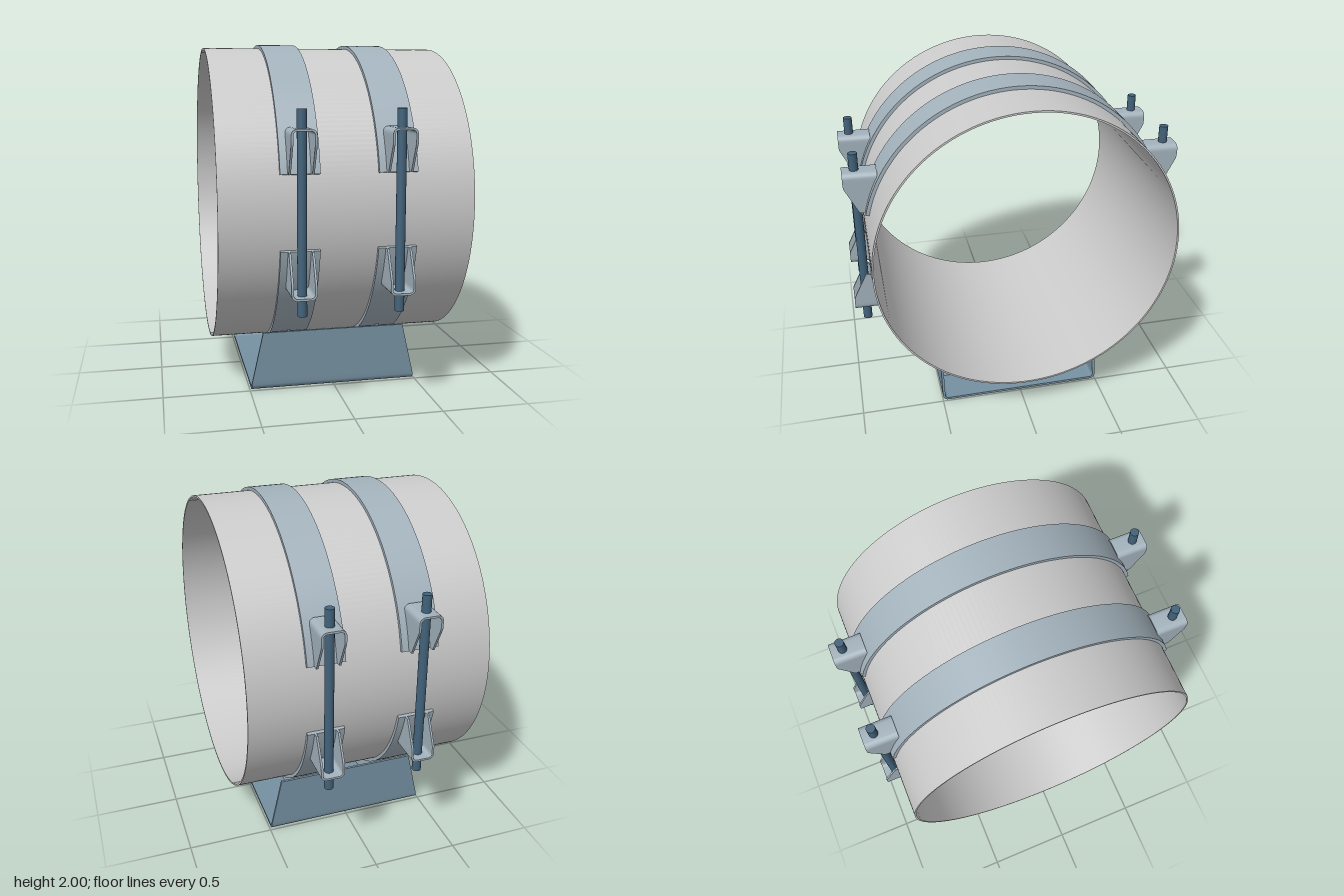
import * as THREE from 'three';
import { toCreasedNormals } from 'three/addons/utils/BufferGeometryUtils.js';

const CY = 1.105;       // height of the pipe axis
const R = 0.875;        // pipe radius
const RS = 0.895;       // strap outer radius
const CLAMP_X = 0.267;  // clamp offset from the middle

const pipeMat = new THREE.MeshStandardMaterial({ color: 0xcccccc });
const strapMat = new THREE.MeshStandardMaterial({ color: 0xa3b2bc });
const baseMat = new THREE.MeshStandardMaterial({ color: 0x7691a2 });
const rodMat = new THREE.MeshStandardMaterial({ color: 0x42627a });

function add(parent, name, geometry, material) {
  const mesh = new THREE.Mesh(geometry, material);
  mesh.name = name;
  parent.add(mesh);
  return mesh;
}

// Extrudes a z-y profile along x, centred on x = 0
function extrudeX(shape, width, segments = 48) {
  const g = new THREE.ExtrudeGeometry(shape, { depth: width, bevelEnabled: false, curveSegments: segments });
  g.translate(0, 0, -width / 2).rotateY(Math.PI / 2);
  return toCreasedNormals(g, 0.5);
}

// Bent plate with a U section in x-y (closed below); span(y) gives its z limits
function channel(w, h, r, t, span) {
  const path = []; // pairs of outer and inner points
  const legs = 12, arcs = 6;
  for (let i = 0; i < legs; i++) {
    const y = h + (r - h) * i / legs;
    path.push([-w / 2, y, -w / 2 + t, y]);
  }
  for (let i = 0; i <= arcs; i++) {
    const a = Math.PI * (1 + i / arcs / 2);
    const c = Math.cos(a), s = Math.sin(a), cx = -w / 2 + r;
    path.push([cx + c * r, r + s * r, cx + c * (r - t), r + s * (r - t)]);
  }
  const mirrored = path.map(([a, b, c, d]) => [-a, b, -c, d]).reverse();
  const pos = [], idx = [];
  for (const [ox, oy, ix, iy] of [...path, ...mirrored]) {
    const [lo, hi] = span(oy);
    const [ilo, ihi] = span(iy);
    pos.push(ox, oy, lo, ox, oy, hi, ix, iy, ihi, ix, iy, ilo);
  }
  const n = pos.length / 12;
  for (let i = 0; i < n - 1; i++) {
    for (let k = 0; k < 4; k++) {
      const a = i * 4 + k, b = i * 4 + (k + 1) % 4;
      idx.push(a, a + 4, b + 4, a, b + 4, b);
    }
  }
  const e = (n - 1) * 4;
  idx.push(0, 1, 2, 0, 2, 3, e, e + 2, e + 1, e, e + 3, e + 2);
  const g = new THREE.BufferGeometry();
  g.setAttribute('position', new THREE.Float32BufferAttribute(pos, 3));
  g.setIndex(idx);
  return toCreasedNormals(g, 0.5);
}

export function createModel() {
  const model = new THREE.Group();
  model.name = 'pipeSupport';

  // Thin-walled pipe
  const ring = new THREE.Shape().absarc(0, 0, R, 0, Math.PI * 2);
  ring.holes.push(new THREE.Path().absarc(0, 0, R - 0.01, 0, Math.PI * 2, true));
  add(model, 'pipe', extrudeX(ring, 1.4, 96), pipeMat).position.y = CY;

  // Folded base: floor with two tapering side plates
  const baseGeo = channel(1, 0.345, 0.035, 0.015, y => {
    const half = y < 0.035 ? 0.49 : THREE.MathUtils.mapLinear(y, 0.035, 0.345, 0.49, 0.42);
    return [-half, half];
  });
  add(model, 'base', baseGeo.rotateY(Math.PI / 2), baseMat);

  // Strap arc, used above and below
  const a0 = Math.asin(0.205 / RS), a1 = Math.PI - a0;
  const arc = new THREE.Shape();
  arc.absarc(0, 0, RS, a0, a1);
  arc.absarc(0, 0, R, a1, a0, true);
  const strapGeo = extrudeX(arc, 0.215, 64);

  // Saddle web, cut to the strap on top
  const zw = 0.487, aw = Math.acos(zw / RS);
  const webShape = new THREE.Shape();
  webShape.moveTo(-zw, 0.013);
  webShape.lineTo(zw, 0.013);
  webShape.absarc(0, CY, RS - 0.002, -aw, aw - Math.PI, true);
  const webGeo = extrudeX(webShape, 0.015);

  // Lug: U bracket tapering toward the strap end
  const lugY = 0.66, lugH = 0.24;
  const lugGeo = channel(0.137, lugH, 0.032, 0.012, y => {
    const dy = CY - lugY - y;
    const inner = Math.max(0.787, Math.sqrt(RS * RS - dy * dy) - 0.004);
    const outer = y < 0.08 ? 0.98 : THREE.MathUtils.mapLinear(y, 0.08, lugH, 0.98, 0.9);
    return [inner, outer];
  });
  lugGeo.translate(0, lugY - CY, 0);
  const rodGeo = new THREE.CylinderGeometry(0.026, 0.026, 1.09, 24);

  // Two clamps, each symmetric about the pipe axis
  for (const side of [-1, 1]) {
    const clamp = new THREE.Group();
    clamp.name = side > 0 ? 'leftClamp' : 'rightClamp';
    clamp.position.set(side * CLAMP_X, CY, 0);
    model.add(clamp);
    add(clamp, 'upperStrap', strapGeo, strapMat);
    add(clamp, 'lowerStrap', strapGeo, strapMat).rotation.x = Math.PI;
    add(clamp, 'saddleWeb', webGeo, strapMat).position.y = -CY;
    for (const turn of [0, Math.PI]) {
      const end = turn ? 'back' : 'front';
      add(clamp, end + 'LowerLug', lugGeo, strapMat).rotation.y = turn;
      add(clamp, end + 'UpperLug', lugGeo, strapMat).rotation.set(Math.PI, Math.PI - turn, 0);
      add(clamp, end + 'Rod', rodGeo, rodMat).position.z = turn ? -0.91 : 0.91;
    }
  }
  return model;
}
